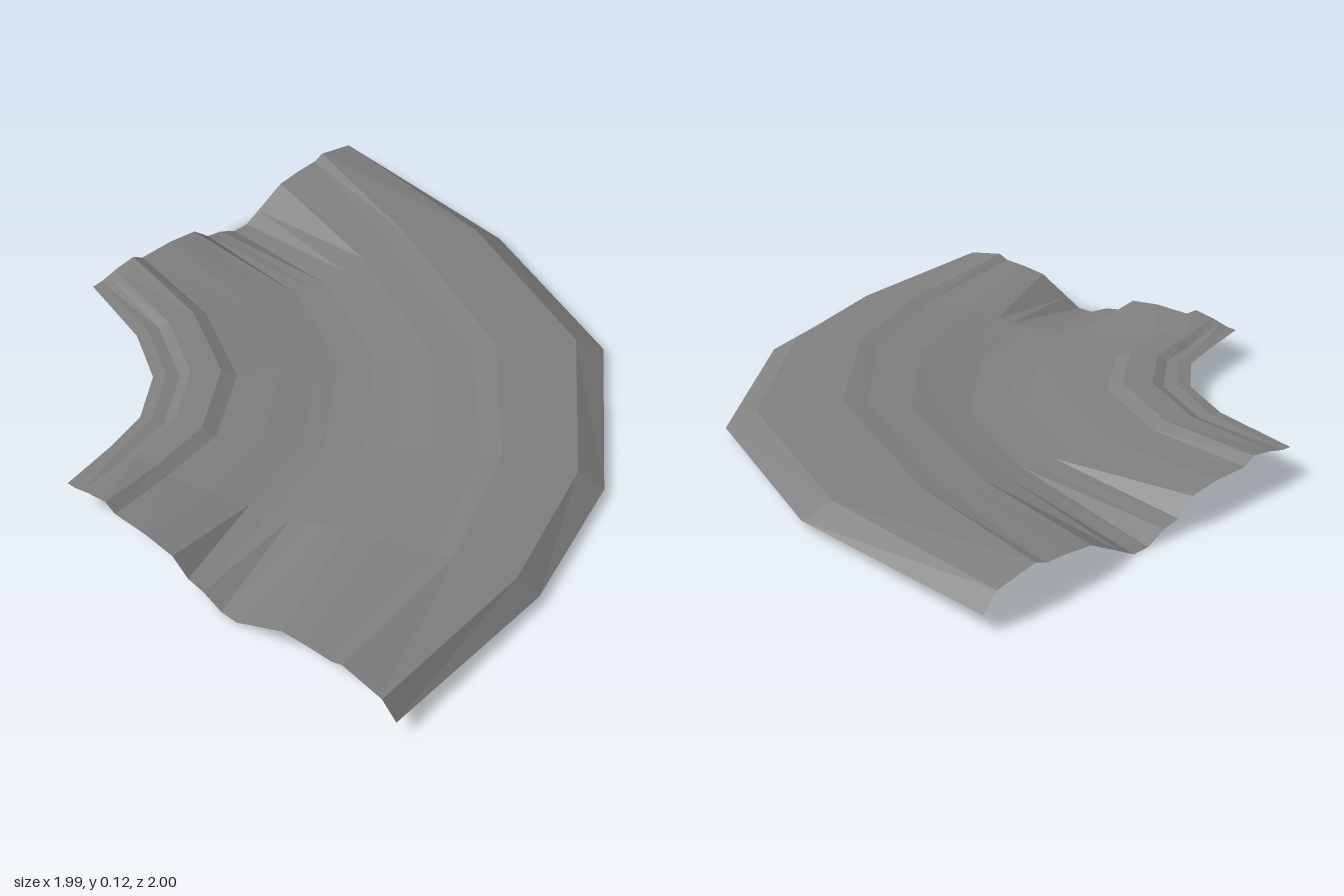
import * as THREE from 'three';

// Guide rails in plan (x, z), six stations each, from the inside of the bend to the outside.
// t is the offset across the track at which each rail runs.
const RAILS = [
  { t: -0.30, p: [[-1, -0.29], [-0.8, -0.33], [-0.65, -0.37], [-0.49, -0.49], [-0.38, -0.69], [-0.3, -1]] },
  { t: -0.08, p: [[-1, -0.08], [-0.78, -0.11], [-0.55, -0.14], [-0.3, -0.31], [-0.14, -0.62], [-0.08, -1]] },
  { t: 0.28, p: [[-1, 0.28], [-0.63, 0.26], [-0.29, 0.15], [0.05, -0.12], [0.23, -0.48], [0.28, -1]] },
  { t: 0.77, p: [[-1, 0.77], [-0.5, 0.69], [-0.08, 0.5], [0.3, 0.15], [0.58, -0.47], [0.76, -1]] },
  { t: 1.00, p: [[-1, 1], [-0.38, 0.97], [0.1, 0.83], [0.65, 0.41], [0.92, -0.25], [0.99, -1]] },
];

// Cross-section: offset t, height at the open ends, height inside the bend
const PROFILE = [
  [-0.30, 0.09, 0.085], [-0.265, 0.092, 0.09], [-0.23, 0.1, 0.085], [-0.20, 0.108, 0.098],
  [-0.12, 0.12, 0.1], [-0.08, 0.098, 0.08], [0.05, 0.1, 0.07], [0.16, 0.088, 0.055],
  [0.22, 0.04, 0.05], [0.28, 0.03, 0.05], [0.35, 0, 0.05], [0.41, 0, 0.055],
  [0.47, 0.03, 0.06], [0.59, 0.09, 0.073], [0.68, 0.1, 0.076], [0.77, 0.105, 0.08],
  [0.81, 0.12, 0.09], [0.95, 0.095, 0.075], [1.00, 0.045, 0.025],
];

// Plan position at a station for any offset across the track
function planPoint(station, t) {
  let i = 0;
  while (i < RAILS.length - 2 && t > RAILS[i + 1].t) i++;
  const a = RAILS[i], b = RAILS[i + 1];
  const k = (t - a.t) / (b.t - a.t);
  return [0, 1].map((c) => THREE.MathUtils.lerp(a.p[station][c], b.p[station][c], k));
}

export function createModel() {
  const group = new THREE.Group();
  group.name = 'curvedTrack';

  const stations = 6, across = PROFILE.length;
  const positions = [], index = [];
  for (let s = 0; s < stations; s++) {
    const isEnd = s === 0 || s === stations - 1;
    for (const [t, endY, midY] of PROFILE) {
      const [x, z] = planPoint(s, t);
      positions.push(x, isEnd ? endY : midY, z);
    }
  }

  // Faces between neighbouring cross-sections, wound to face upwards
  for (let s = 0; s < stations - 1; s++) {
    for (let j = 0; j < across - 1; j++) {
      const a = s * across + j, b = a + 1, c = a + across, d = c + 1;
      index.push(a, b, c, b, d, c);
    }
  }

  const geometry = new THREE.BufferGeometry();
  geometry.setAttribute('position', new THREE.Float32BufferAttribute(positions, 3));
  geometry.setIndex(index);
  const faceted = geometry.toNonIndexed();
  faceted.computeVertexNormals();

  const material = new THREE.MeshStandardMaterial({ color: 0x808080, side: THREE.DoubleSide, flatShading: true });
  material.name = 'grey ground';
  const surface = new THREE.Mesh(faceted, material);
  surface.name = 'trackSurface';
  group.add(surface);
  return group;
}
